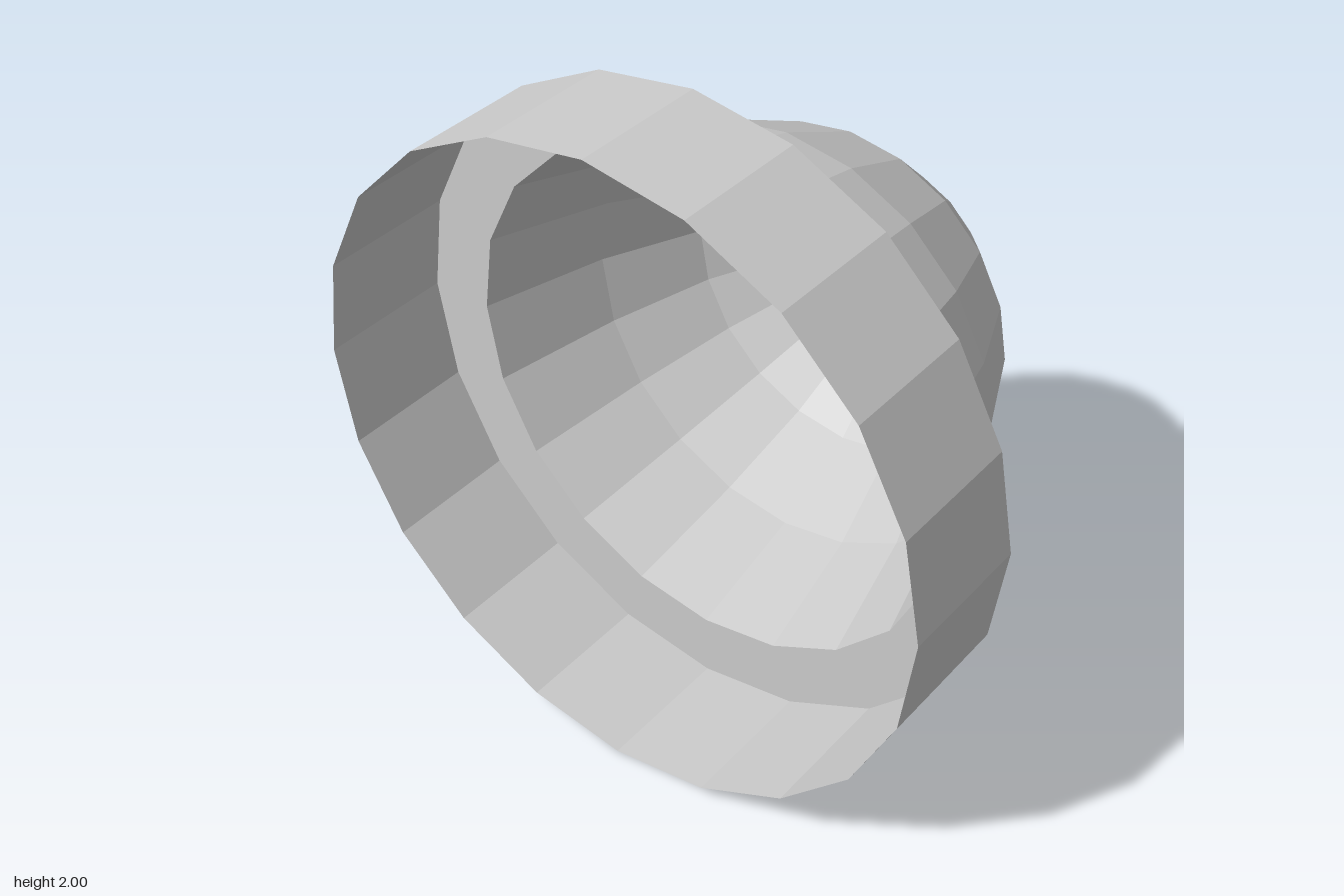
import * as THREE from 'three';

const SIDES = 20;
const material = new THREE.MeshStandardMaterial({
  color: 0xcccccc, flatShading: true, side: THREE.DoubleSide
});

// Lathe a [radius, z] profile around the z axis, centred at y = 1
function turned(profile) {
  const points = profile.map(([r, z]) => new THREE.Vector2(r, z));
  return new THREE.LatheGeometry(points, SIDES).rotateX(Math.PI / 2).translate(0, 1, 0);
}

// Rounded tip: a fan with half as many sides, widening to the full ring
function noseGeometry() {
  const half = SIDES / 2;
  const onRing = (sides, r, z, i) => {
    const a = (i / sides) * Math.PI * 2;
    return new THREE.Vector3(r * Math.sin(a), 1 + r * Math.cos(a), z);
  };
  const inner = (i) => onRing(half, 0.188, -0.7, i);
  const outer = (i) => onRing(SIDES, 0.34, -0.59, i);
  const tip = new THREE.Vector3(0, 1, -0.75);
  const corners = [];
  for (let i = 0; i < half; i++) {
    const a = inner(i), b = inner(i + 1), middle = outer(2 * i + 1);
    corners.push(tip, a, b);
    corners.push(a, outer(2 * i), middle);
    corners.push(a, middle, b);
    corners.push(b, middle, outer(2 * i + 2));
  }
  const geometry = new THREE.BufferGeometry().setFromPoints(corners);
  geometry.computeVertexNormals();
  return geometry;
}

export function createModel() {
  const group = new THREE.Group();
  group.name = 'flangedDome';

  const add = (name, geometry) => {
    const mesh = new THREE.Mesh(geometry, material);
    mesh.name = name;
    group.add(mesh);
  };

  // Thin collar: a flat step out from the dome, then a wall open at the front
  add('collar', turned([[0.8, 0.33], [1, 0.33], [1, 0.75]]));

  // Thin hollow dome behind the collar
  add('dome', turned([[0.34, -0.59], [0.55, -0.36], [0.69, -0.06], [0.8, 0.33]]));
  add('nose', noseGeometry());

  return group;
}
